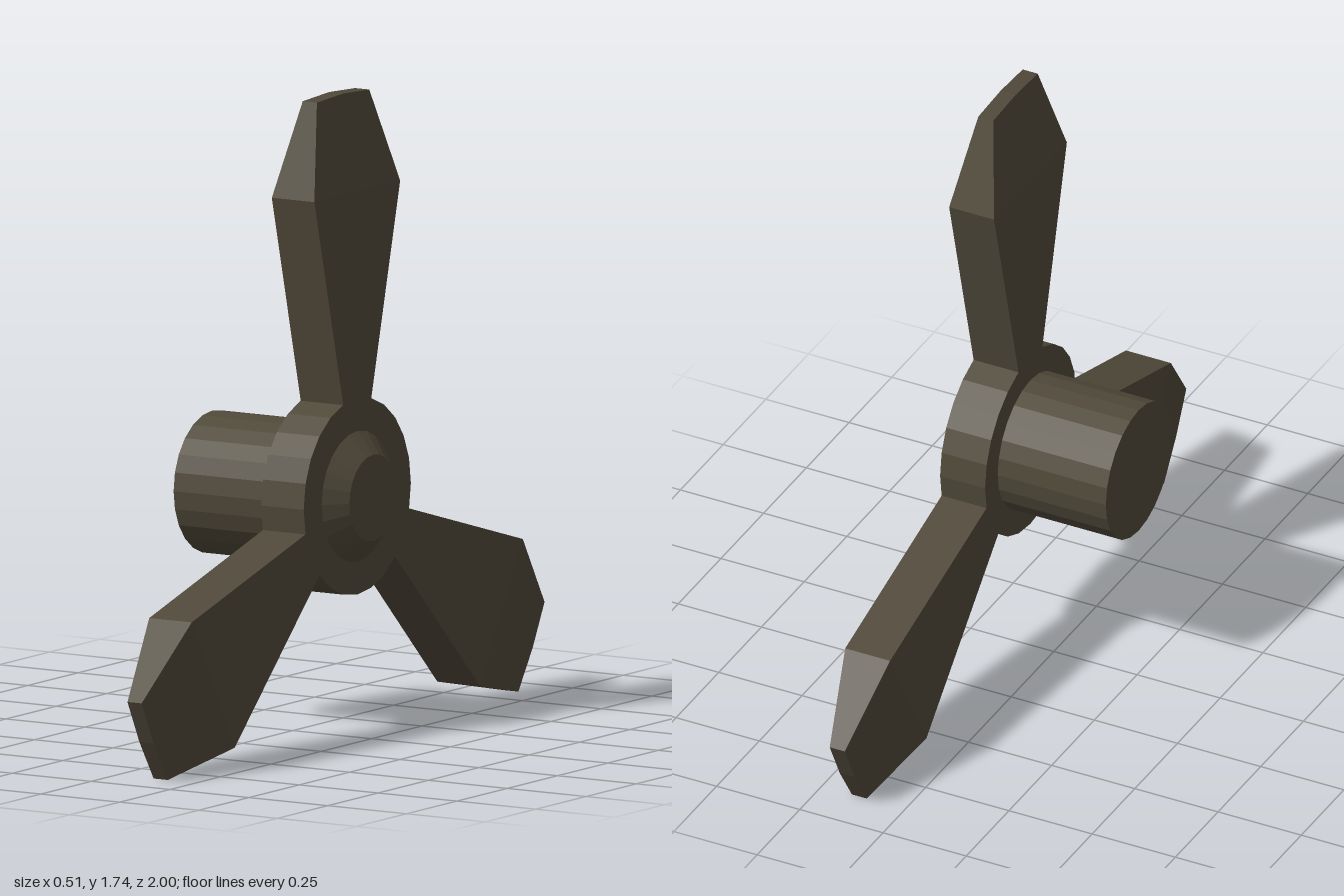
import * as THREE from 'three';

const AXIS_Y = 0.655;   // height of the propeller axis
const MID_X = 0.1375;   // middle plane of the blades

// Blade from rings of six points: y runs outward, x is thickness, z is width
function bladeGeometry() {
  // [radius, half width, half thickness, extra radius at the middle]
  const sections = [
    [0.25, 0.068, 0.0675, 0],
    [0.826, 0.213, 0.0675, 0],
    [1.08, 0.13, 0.0225, 0.007],
  ];
  const ring = [[1, 1], [1, 0], [1, -1], [-1, -1], [-1, 0], [-1, 1]];
  const pos = [], idx = [];
  for (const [r, w, t, bulge] of sections)
    for (const [sx, sz] of ring) pos.push(sx * t, r + (sz ? 0 : bulge), sz * w);
  for (let s = 0; s < sections.length - 1; s++)
    for (let i = 0; i < 6; i++) {
      const a = s * 6 + i, b = s * 6 + (i + 1) % 6;
      idx.push(a, b, b + 6, a, b + 6, a + 6);
    }
  // Root and tip caps
  const quads = [[0, 1, 4, 5], [1, 2, 3, 4]];
  const top = (sections.length - 1) * 6;
  for (const [a, b, c, d] of quads) {
    idx.push(a, c, b, a, d, c);
    idx.push(top + a, top + b, top + c, top + a, top + c, top + d);
  }
  const g = new THREE.BufferGeometry();
  g.setAttribute('position', new THREE.Float32BufferAttribute(pos, 3));
  g.setIndex(idx);
  const flat = g.toNonIndexed();
  flat.computeVertexNormals();
  return flat;
}

export function createModel() {
  const group = new THREE.Group();
  group.name = 'propeller';
  const metal = new THREE.MeshStandardMaterial({ color: 0x50493a });
  metal.name = 'dark bronze';
  metal.flatShading = true;

  // Round part lying along x from x0 to x1
  const round = (name, x0, x1, r0, r1) => {
    const g = new THREE.CylinderGeometry(r1, r0, x1 - x0, 24);
    g.rotateZ(-Math.PI / 2);
    const mesh = new THREE.Mesh(g, metal);
    mesh.name = name;
    mesh.position.set((x0 + x1) / 2, AXIS_Y, 0);
    group.add(mesh);
  };
  round('shaft', -0.255, 0.07, 0.192, 0.192);
  round('hub', 0.07, 0.205, 0.266, 0.266);
  round('noseCap', 0.205, 0.255, 0.177, 0.117);

  // Three blades around the hub
  const blade = bladeGeometry();
  for (let i = 0; i < 3; i++) {
    const mesh = new THREE.Mesh(blade, metal);
    mesh.name = 'blade' + (i + 1);
    mesh.position.set(MID_X, AXIS_Y, 0);
    mesh.rotation.x = (i * Math.PI * 2) / 3;
    group.add(mesh);
  }
  return group;
}
